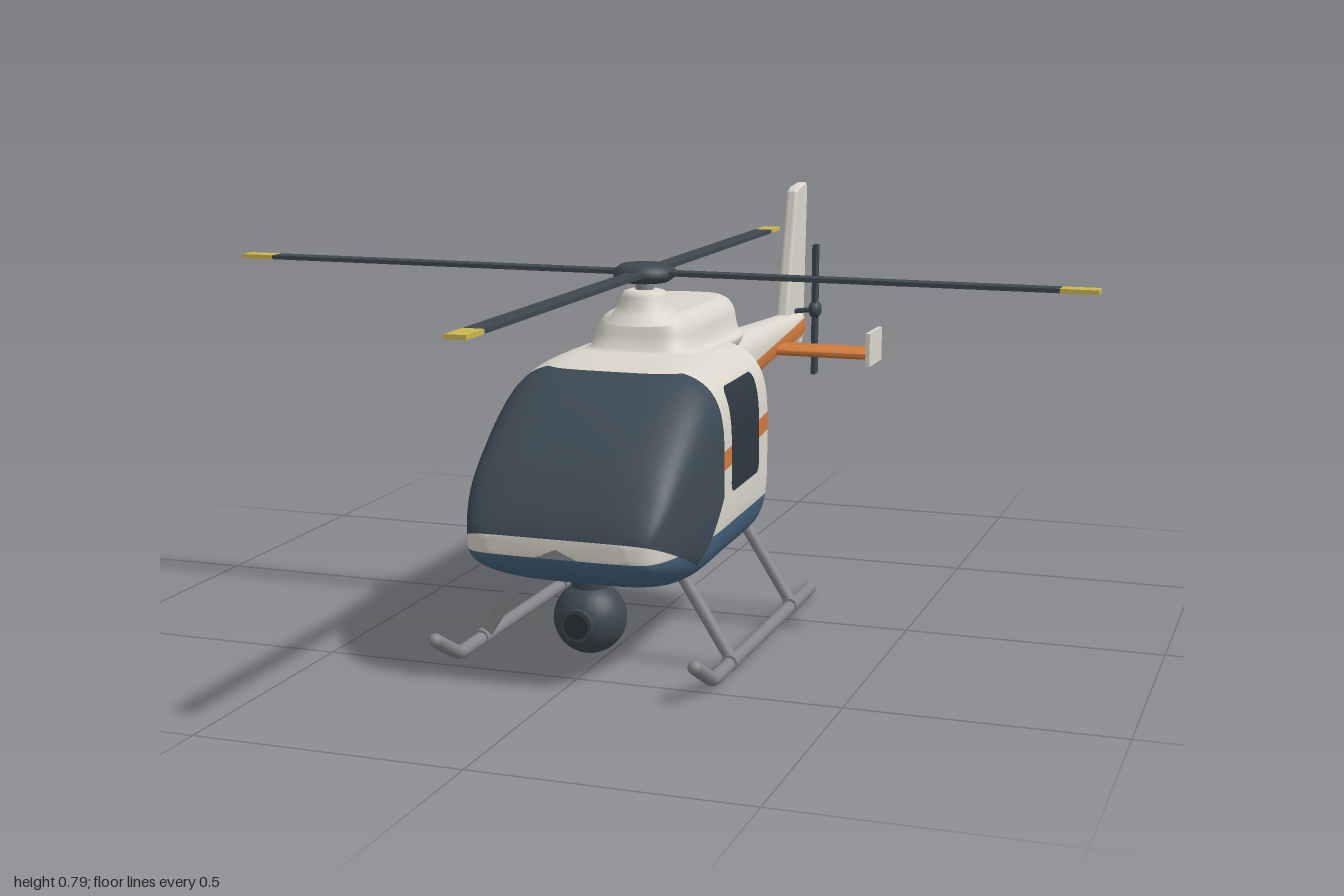
import * as THREE from 'three';

const paint = (name, color) => Object.assign(new THREE.MeshStandardMaterial({ color }), { name });
const MAT = {
  white: paint('shell white', 0xd9d5ca), blue: paint('belly blue', 0x45647e),
  orange: paint('stripe orange', 0xd07a3c), glass: paint('windshield glass', 0x3d4a54),
  window: paint('door glass', 0x2e3840), dark: paint('rotor grey', 0x3e4850),
  metal: paint('skid metal', 0x86868a), yellow: paint('tip yellow', 0xcbb64c),
  lens: paint('lens dark', 0x2b333a),
};

// Rounded-box cross-sections [t, low, high, halfWidth] swept along z or y and closed at both ends
function loft(sections, n, axis = 'z', steps = 4, sides = 64) {
  const at = (i) => sections[Math.min(Math.max(i, 0), sections.length - 1)];
  const rings = [];
  for (let i = 0; i < sections.length - 1; i++) {
    for (let s = 0; s < steps; s++) {
      const u = s / steps;
      rings.push(at(i).map((b, k) => {
        const a = at(i - 1)[k], c = at(i + 1)[k], d = at(i + 2)[k];
        return b + 0.5 * u * (c - a + u * (2 * a - 5 * b + 4 * c - d + u * (3 * (b - c) + d - a)));
      }));
    }
  }
  rings.push(at(sections.length));
  const pole = ([t, lo, hi]) => [t, (lo + hi) / 2, (lo + hi) / 2, 0];
  rings.unshift(pole(rings[0]));
  rings.push(pole(rings[rings.length - 1]));
  const pos = [], index = [];
  const pow = (v) => Math.sign(v) * Math.abs(v) ** (2 / n);
  rings.forEach(([t, lo, hi, hw], i) => {
    for (let j = 0; j < sides; j++) {
      const a = (j / sides) * Math.PI * 2;
      const x = hw * pow(Math.cos(a)), v = (lo + hi) / 2 + ((hi - lo) / 2) * pow(Math.sin(a));
      pos.push(x, ...(axis === 'z' ? [v, t] : [t, v]));
      if (i === rings.length - 1) continue;
      const k = (j + 1) % sides, p = i * sides, q = p + sides;
      index.push(p + j, q + j, q + k, p + j, q + k, p + k);
    }
  });
  const g = new THREE.BufferGeometry();
  g.setAttribute('position', new THREE.Float32BufferAttribute(pos, 3));
  g.setIndex(index);
  g.computeVertexNormals();
  return g;
}

// Triangle lists that can be cut along paint lines; vertex = [position, normal]
function toTris(g) {
  const p = g.attributes.position, m = g.attributes.normal, ix = g.index.array, out = [];
  const v = (i) => [p.getX(i), p.getY(i), p.getZ(i), m.getX(i), m.getY(i), m.getZ(i)];
  for (let i = 0; i < ix.length; i += 3) out.push([v(ix[i]), v(ix[i + 1]), v(ix[i + 2])]);
  return out;
}
function cut(tris, f) {
  const sides = [[], []];
  for (const tri of tris) {
    const d = tri.map((v) => f(v[2], v[1]));
    [1, -1].forEach((sign, s) => {
      const poly = [];
      tri.forEach((v, i) => {
        const j = (i + 1) % 3, a = d[i] * sign, b = d[j] * sign;
        if (a > 0 || (a === 0 && sign > 0)) poly.push(v);
        if (a * b < 0) poly.push(v.map((c, k) => c + (tri[j][k] - c) * (a / (a - b))));
      });
      for (let i = 2; i < poly.length; i++) sides[s].push([poly[0], poly[i - 1], poly[i]]);
    });
  }
  return sides;
}
// Separate the area where every rule f(z, y) is positive
function region(tris, rules) {
  const rest = [];
  for (const f of rules) {
    const [inside, outside] = cut(tris, f);
    rest.push(...outside);
    tris = inside;
  }
  return [tris, rest];
}
function toGeometry(tris) {
  const g = new THREE.BufferGeometry(), v = tris.flat();
  g.setAttribute('position', new THREE.Float32BufferAttribute(v.flatMap((a) => a.slice(0, 3)), 3));
  g.setAttribute('normal', new THREE.Float32BufferAttribute(v.flatMap((a) => a.slice(3)), 3));
  return g;
}

const stripeY = (z) => 0.38 + (0.29 - z) * 0.06;
const stripe = [
  (z, y) => y - stripeY(z) + 0.018, (z, y) => stripeY(z) + 0.018 - y,
  (z) => 0.295 - z, (z) => z + 0.94,
];
const windshield = [
  (z) => z - 0.295, (z, y) => y + z - 0.605,
  (z, y) => y - 0.205 - (z - 0.4) * 0.405, (z, y) => 0.541 - y,
];
// Rounded rectangle as a ring of straight rules
const doorWindow = [];
for (let i = 0; i < 16; i++) {
  const a = (i / 16) * Math.PI * 2, c = Math.cos(a), s = Math.sin(a);
  const reach = 0.08 * (Math.abs(c) + Math.abs(s)) + 0.02;
  doorWindow.push((z, y) => reach - (z - 0.145) * c - (y - 0.41) * s);
}

export function createModel() {
  const model = new THREE.Group();
  model.name = 'helicopter';
  const add = (name, g, mat, x = 0, y = 0, z = 0, parent = model) => {
    const m = new THREE.Mesh(g, mat);
    m.name = name;
    m.position.set(x, y, z);
    parent.add(m);
    return m;
  };
  const rod = (name, a, b, r, mat) => {
    const p = new THREE.Vector3(...a), d = new THREE.Vector3(...b).sub(p);
    const m = add(name, new THREE.CylinderGeometry(r, r, d.length(), 16), mat);
    m.position.copy(p).addScaledVector(d, 0.5);
    m.quaternion.setFromUnitVectors(new THREE.Vector3(0, 1, 0), d.normalize());
  };
  const lathe = (pts) => new THREE.LatheGeometry(pts.map((p) => new THREE.Vector2(...p)), 32);

  // Cabin, cut into glass, stripe, belly and shell
  let rest = toTris(loft([
    [0.6, 0.25, 0.285, 0.13], [0.59, 0.228, 0.31, 0.165], [0.565, 0.208, 0.35, 0.185],
    [0.515, 0.187, 0.41, 0.2], [0.434, 0.163, 0.475, 0.21], [0.36, 0.152, 0.523, 0.215],
    [0.295, 0.15, 0.549, 0.216], [0.2, 0.15, 0.56, 0.213], [0, 0.15, 0.56, 0.206],
    [-0.03, 0.155, 0.555, 0.201], [-0.06, 0.175, 0.54, 0.187], [-0.08, 0.21, 0.51, 0.158],
    [-0.088, 0.25, 0.46, 0.12],
  ], 4));
  for (const [name, rules, mat] of [
    ['windshield', windshield, MAT.glass], ['doorWindows', doorWindow, MAT.window],
    ['cabinStripe', stripe, MAT.orange], ['belly', [(z, y) => 0.25 - y], MAT.blue],
  ]) {
    const [inside, outside] = region(rest, rules);
    add(name, toGeometry(inside), mat);
    rest = outside;
  }
  add('cabinShell', toGeometry(rest), MAT.white);

  // Tail boom flaring into the cabin
  const [line, boom] = region(toTris(loft([
    [-0.05, 0.27, 0.555, 0.15], [-0.082, 0.325, 0.555, 0.115], [-0.105, 0.358, 0.555, 0.088],
    [-0.14, 0.371, 0.552, 0.074], [-0.19, 0.376, 0.55, 0.068], [-0.22, 0.378, 0.528, 0.065],
    [-0.27, 0.381, 0.515, 0.062], [-0.6, 0.398, 0.5, 0.045], [-0.9, 0.415, 0.487, 0.031],
    [-0.94, 0.42, 0.484, 0.027], [-0.952, 0.434, 0.47, 0.016],
  ], 2.6)), stripe);
  add('boomStripe', toGeometry(line), MAT.orange);
  add('tailBoom', toGeometry(boom), MAT.white);

  // Engine cowl and mast
  add('engineCowl', loft([
    [0.48, -0.17, 0.19, 0.08], [0.545, -0.19, 0.215, 0.125], [0.562, -0.196, 0.2, 0.112],
    [0.58, -0.199, 0.188, 0.105], [0.602, -0.198, 0.18, 0.1], [0.62, -0.19, 0.172, 0.088],
    [0.629, -0.175, 0.16, 0.07],
  ], 4.5, 'y'), MAT.white);
  add('mastFairing', lathe([[0.08, 0.61], [0.06, 0.629], [0.049, 0.642], [0.045, 0.66],
    [0.04, 0.669], [0.03, 0.672], [0, 0.672]]), MAT.white, 0, 0, 0.13);
  add('mast', new THREE.CylinderGeometry(0.018, 0.018, 0.05, 20), MAT.metal, 0, 0.685, 0.13);

  // Main rotor
  const rotor = new THREE.Group();
  rotor.name = 'mainRotor';
  rotor.position.set(0, 0.705, 0.13);
  model.add(rotor);
  add('rotorHub', lathe([[0, -0.018], [0.045, -0.018], [0.06, -0.008], [0.06, 0.006],
    [0.045, 0.016], [0, 0.016]]), MAT.dark, 0, 0, 0, rotor);
  for (let i = 0; i < 4; i++) {
    const arm = new THREE.Group();
    arm.name = 'rotorBlade';
    arm.rotation.y = (i * Math.PI) / 2;
    rotor.add(arm);
    add('blade', new THREE.BoxGeometry(0.76, 0.008, 0.038), MAT.dark, 0.42, 0, 0, arm);
    add('bladeTip', new THREE.BoxGeometry(0.07, 0.008, 0.038), MAT.yellow, 0.835, 0, 0, arm);
  }

  // Tail fin, drawn in the z-y plane
  const fin = new THREE.Shape([[0.835, 0.485], [0.91, 0.772], [0.925, 0.78], [0.988, 0.786],
    [0.994, 0.78], [0.975, 0.46], [0.965, 0.408], [0.925, 0.415]].map((p) => new THREE.Vector2(...p)));
  const finGeo = new THREE.ExtrudeGeometry(fin, { depth: 0.012, bevelSize: 0.006,
    bevelThickness: 0.007, bevelSegments: 3 });
  finGeo.translate(0, 0, -0.006).rotateY(Math.PI / 2);
  add('tailFin', finGeo, MAT.white);

  // Tail rotor on the left side
  add('tailRotorBlades', new THREE.BoxGeometry(0.01, 0.31, 0.028), MAT.dark, 0.062, 0.498, -0.9);
  add('tailRotorHub', new THREE.SphereGeometry(0.022, 20, 14), MAT.dark, 0.062, 0.498, -0.9)
    .scale.x = 0.7;
  rod('tailRotorShaft', [0, 0.49, -0.9], [0.062, 0.498, -0.9], 0.006, MAT.dark);

  // Stabilizer with end plates
  const wing = loft([[-0.643, 0.43, 0.438, 0.25], [-0.655, 0.424, 0.443, 0.252],
    [-0.69, 0.422, 0.446, 0.252], [-0.767, 0.432, 0.437, 0.25]], 12);
  add('stabilizer', wing, MAT.orange);

  // Left and right pairs
  for (const s of [1, -1]) {
    add('endPlate', new THREE.BoxGeometry(0.01, 0.076, 0.116), MAT.white, s * 0.254, 0.447, -0.703);
    const path = new THREE.CurvePath();
    const pts = [[-0.195, 0.014], [0.45, 0.014], [0.485, 0.023], [0.57, 0.068]]
      .map(([z, y]) => new THREE.Vector3(s * 0.25, y, z));
    path.add(new THREE.LineCurve3(pts[0], pts[1]));
    path.add(new THREE.QuadraticBezierCurve3(pts[1], new THREE.Vector3(s * 0.25, 0.014, 0.468), pts[2]));
    path.add(new THREE.LineCurve3(pts[2], pts[3]));
    add('skid', new THREE.TubeGeometry(path, 60, 0.013, 14), MAT.metal);
    for (const p of [pts[0], pts[3]]) {
      add('skidEnd', new THREE.SphereGeometry(0.013, 14, 10), MAT.metal, p.x, p.y, p.z);
    }
    for (const z of [0.35, -0.055]) {
      rod('skidStrut', [s * 0.25, 0.016, z], [s * 0.14, 0.19, z], 0.012, MAT.metal);
      rod('skidCollar', [s * 0.25, 0.016, z - 0.02], [s * 0.25, 0.016, z + 0.02], 0.016, MAT.metal);
    }
  }

  // Camera ball under the nose
  add('cameraMount', new THREE.CylinderGeometry(0.035, 0.035, 0.05, 24), MAT.dark, 0, 0.155, 0.43);
  add('cameraBall', new THREE.SphereGeometry(0.068, 32, 24), MAT.dark, 0, 0.1, 0.43);
  rod('cameraBarrel', [0, 0.1, 0.47], [0, 0.1, 0.502], 0.03, MAT.dark);
  rod('cameraLens', [0, 0.1, 0.5], [0, 0.1, 0.505], 0.024, MAT.lens);
  return model;
}
